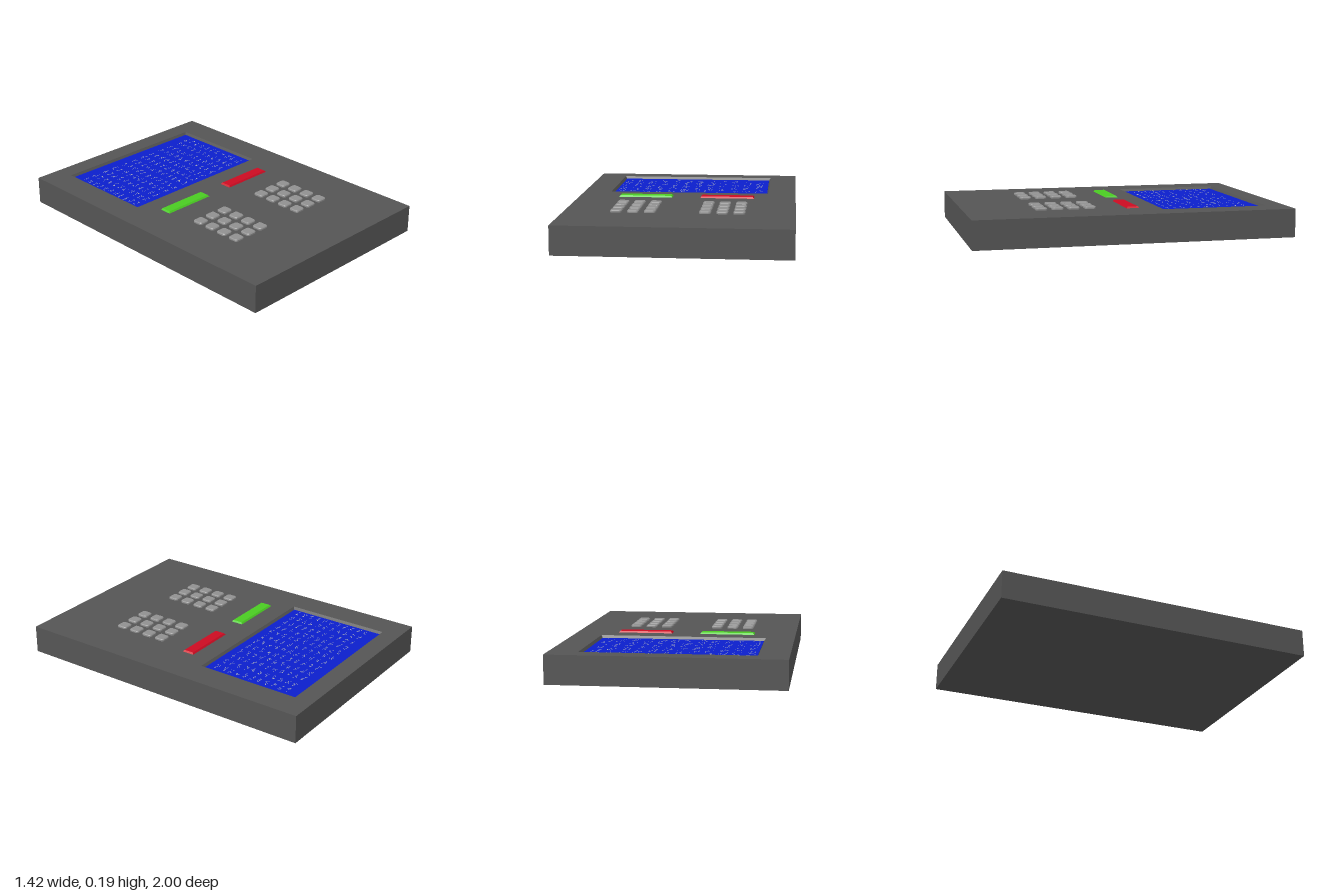
import * as THREE from 'three';
import { mergeGeometries } from 'three/addons/utils/BufferGeometryUtils.js';

const TOP = 0.178, RECESS = 0.02;

function material(name, color) {
  const m = new THREE.MeshStandardMaterial({ color });
  m.name = name;
  return m;
}

function mesh(name, geometry, mat, x = 0, y = 0, z = 0) {
  const m = new THREE.Mesh(geometry, mat);
  m.name = name;
  m.position.set(x, y, z);
  return m;
}

// Box without a position of its own: y starts at 0, top face drawn in by `inset`
function taperedBox(w, h, d, inset) {
  const g = new THREE.BoxGeometry(w, h, d).toNonIndexed();
  g.translate(0, h / 2, 0);
  const p = g.attributes.position;
  for (let i = 0; i < p.count; i++) {
    if (p.getY(i) < h / 2) continue;
    p.setX(i, p.getX(i) - Math.sign(p.getX(i)) * inset);
    p.setZ(i, p.getZ(i) - Math.sign(p.getZ(i)) * inset);
  }
  g.computeVertexNormals();
  return g;
}

// Rounded square key cap standing on y = 0
function keyCap(size, height) {
  const bevel = 0.005, h = size / 2 - bevel, r = 0.012;
  const s = new THREE.Shape();
  s.absarc(h - r, h - r, r, 0, Math.PI / 2);
  s.absarc(-h + r, h - r, r, Math.PI / 2, Math.PI);
  s.absarc(-h + r, -h + r, r, Math.PI, Math.PI * 1.5);
  s.absarc(h - r, -h + r, r, Math.PI * 1.5, Math.PI * 2);
  const g = new THREE.ExtrudeGeometry(s, {
    depth: height - bevel, bevelEnabled: true, bevelThickness: bevel,
    bevelSize: bevel, bevelSegments: 1, curveSegments: 3,
  });
  return g.rotateX(-Math.PI / 2);
}

// Sloping walls between the recess rim and the screen
function recessWalls(w, d, inset, depth) {
  const ring = (x, z, y) => [[-x, y, -z], [x, y, -z], [x, y, z], [-x, y, z]];
  const a = ring(w / 2, d / 2, 0);
  const b = ring(w / 2 - inset, d / 2 - inset, -depth);
  const pos = [];
  for (let i = 0; i < 4; i++) {
    const j = (i + 1) % 4;
    for (const v of [a[i], b[i], b[j], a[i], b[j], a[j]]) pos.push(...v);
  }
  const g = new THREE.BufferGeometry();
  g.setAttribute('position', new THREE.Float32BufferAttribute(pos, 3));
  g.computeVertexNormals();
  return g;
}

export function createModel() {
  const casing = material('casing grey', 0x555555);
  const blue = material('screen blue', 0x0b1fcc);
  const pale = material('screen mark grey', 0xa0a4b8);
  const green = material('button green', 0x4acc22);
  const red = material('button red', 0xcc0b22);
  const keyGrey = material('key grey', 0x909090);
  const model = new THREE.Group();
  model.name = 'keypadConsole';

  // Casing: one solid lower slab and a top layer with the screen opening
  const W = 1.416, D = 2, sw = 1.055, sd = 0.675, sz = -0.542;
  const lower = TOP - RECESS;
  const body = new THREE.Shape();
  body.moveTo(-W / 2, -D / 2).lineTo(W / 2, -D / 2).lineTo(W / 2, D / 2).lineTo(-W / 2, D / 2);
  const hole = new THREE.Path();
  hole.moveTo(-sw / 2, -sz - sd / 2).lineTo(-sw / 2, -sz + sd / 2)
    .lineTo(sw / 2, -sz + sd / 2).lineTo(sw / 2, -sz - sd / 2);
  body.holes.push(hole);
  const frame = new THREE.ExtrudeGeometry(body, { depth: RECESS, bevelEnabled: false });
  frame.rotateX(-Math.PI / 2);
  model.add(mesh('casingBase', new THREE.BoxGeometry(W, lower, D), casing, 0, lower / 2, 0));
  model.add(mesh('casingTop', frame, casing, 0, lower, 0));
  model.add(mesh('screenRim', recessWalls(sw, sd, 0.012, RECESS), casing, 0, TOP, sz));

  // Screen panel at the bottom of the recess
  model.add(mesh('screen', new THREE.BoxGeometry(sw - 0.022, 0.004, sd - 0.022), blue, 0, lower + 0.002, sz));

  // Rows of small abstract marks on the screen
  let seed = 7;
  const random = () => (seed = (seed * 16807) % 2147483647) / 2147483647;
  const marks = [];
  for (let row = 0; row < 11; row++) {
    for (let col = 0; col < 12; col++) {
      for (let i = 0; i < 9; i++) {
        const upright = random() < 0.5;
        const g = new THREE.PlaneGeometry(upright ? 0.004 : 0.009, upright ? 0.009 : 0.004);
        g.rotateX(-Math.PI / 2);
        g.translate(-0.475 + col * 0.0845 + (random() - 0.5) * 0.05, 0,
          -0.785 + row * 0.051 + (random() - 0.5) * 0.02);
        marks.push(g);
      }
    }
  }
  model.add(mesh('screenMarks', mergeGeometries(marks), pale, 0, lower + 0.0055, 0));

  // Two long buttons below the screen
  const bar = taperedBox(0.35, 0.01, 0.08, 0.008);
  model.add(mesh('greenButton', bar, green, -0.27, TOP, -0.036));
  model.add(mesh('redButton', bar, red, 0.263, TOP, -0.036));

  // Two keypads of three by four keys
  const cap = keyCap(0.072, 0.014);
  for (const [name, x0] of [['rightKeypad', -0.28], ['leftKeypad', 0.265]]) {
    const pad = new THREE.Group();
    pad.name = name;
    for (let r = 0; r < 4; r++) {
      for (let c = -1; c <= 1; c++) {
        pad.add(mesh('key', cap, keyGrey, x0 + c * 0.104, TOP, 0.224 + r * 0.102));
      }
    }
    model.add(pad);
  }
  return model;
}
